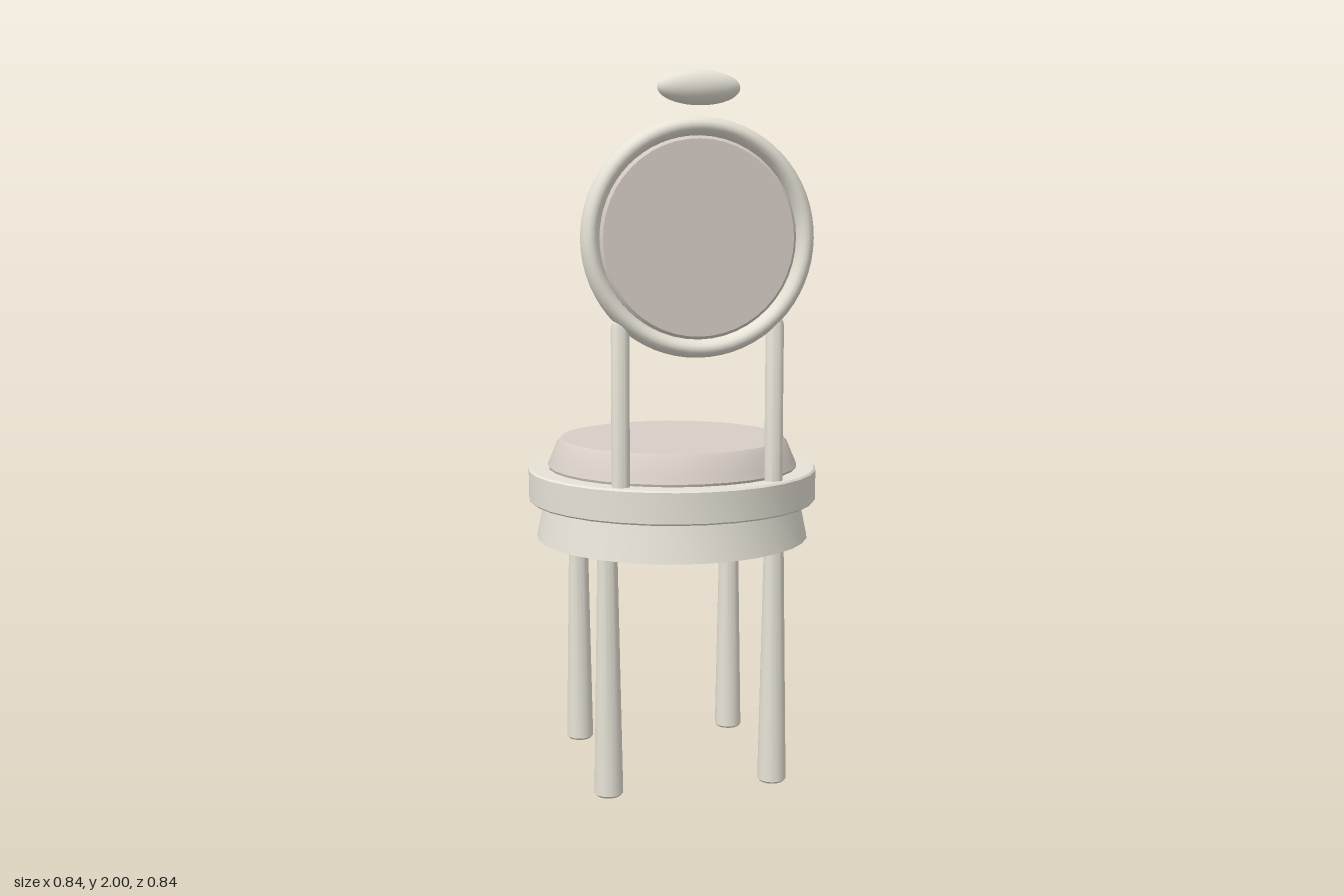
import * as THREE from 'three';
import { toCreasedNormals } from 'three/addons/utils/BufferGeometryUtils.js';

const frameMat = new THREE.MeshStandardMaterial({ color: 0xe6e2d6 });
const cushionMat = new THREE.MeshStandardMaterial({ color: 0xd8cec7 });

// Turned solid from a bottom-to-top list of [radius, height], with crisp edges
function turned(points, segments = 32) {
  const profile = points.map(([r, y]) => new THREE.Vector2(r, y));
  return toCreasedNormals(new THREE.LatheGeometry(profile, segments), 0.5);
}

export function createModel() {
  const chair = new THREE.Group();
  chair.name = 'chair';

  const add = (name, geometry, material, x = 0, y = 0, z = 0) => {
    const mesh = new THREE.Mesh(geometry, material);
    mesh.name = name;
    mesh.position.set(x, y, z);
    chair.add(mesh);
    return mesh;
  };

  // Legs, wider at the foot
  const leg = turned([[0, 0], [0.036, 0], [0.041, 0.006], [0.028, 0.7], [0, 0.7]], 20);
  for (const x of [-0.24, 0.24]) {
    for (const z of [-0.24, 0.24]) add('leg', leg, frameMat, x, 0, z);
  }

  // Round seat: flared apron, rim and padded cushion
  add('apron', turned([[0, 0.69], [0.397, 0.69], [0.372, 0.81], [0, 0.81]]), frameMat);
  add('seatRim', turned([
    [0, 0.8], [0.415, 0.8], [0.42, 0.805], [0.42, 0.89], [0.415, 0.895], [0, 0.895],
  ]), frameMat);
  add('seatCushion', turned([
    [0, 0.89], [0.36, 0.89], [0.364, 0.902], [0.356, 0.92],
    [0.336, 0.968], [0.325, 0.98], [0, 0.98],
  ]), cushionMat);

  // Back posts with domed tops
  const post = turned([
    [0, 0.88], [0.025, 0.88], [0.025, 1.325], [0.022, 1.338], [0.013, 1.347], [0, 1.35],
  ], 20);
  for (const x of [-0.215, 0.215]) add('backPost', post, frameMat, x, 0, 0.31);

  // Round back: oval-section ring around a padded disc
  const ring = new THREE.TorusGeometry(0.295, 0.025, 16, 64);
  ring.scale(1, 1, 1.6);
  add('backRing', ring, frameMat, 0, 1.56, 0.31);
  const pad = turned([
    [0, -0.045], [0.262, -0.045], [0.27, -0.038], [0.27, 0.038], [0.262, 0.045], [0, 0.045],
  ], 48);
  pad.rotateX(Math.PI / 2);
  add('backCushion', pad, cushionMat, 0, 1.56, 0.28);

  // Oval ornament floating above the back
  const ornament = new THREE.SphereGeometry(1, 32, 20);
  ornament.scale(0.113, 0.046, 0.042);
  add('topOrnament', ornament, frameMat, 0, 1.954, 0.31);

  return chair;
}
